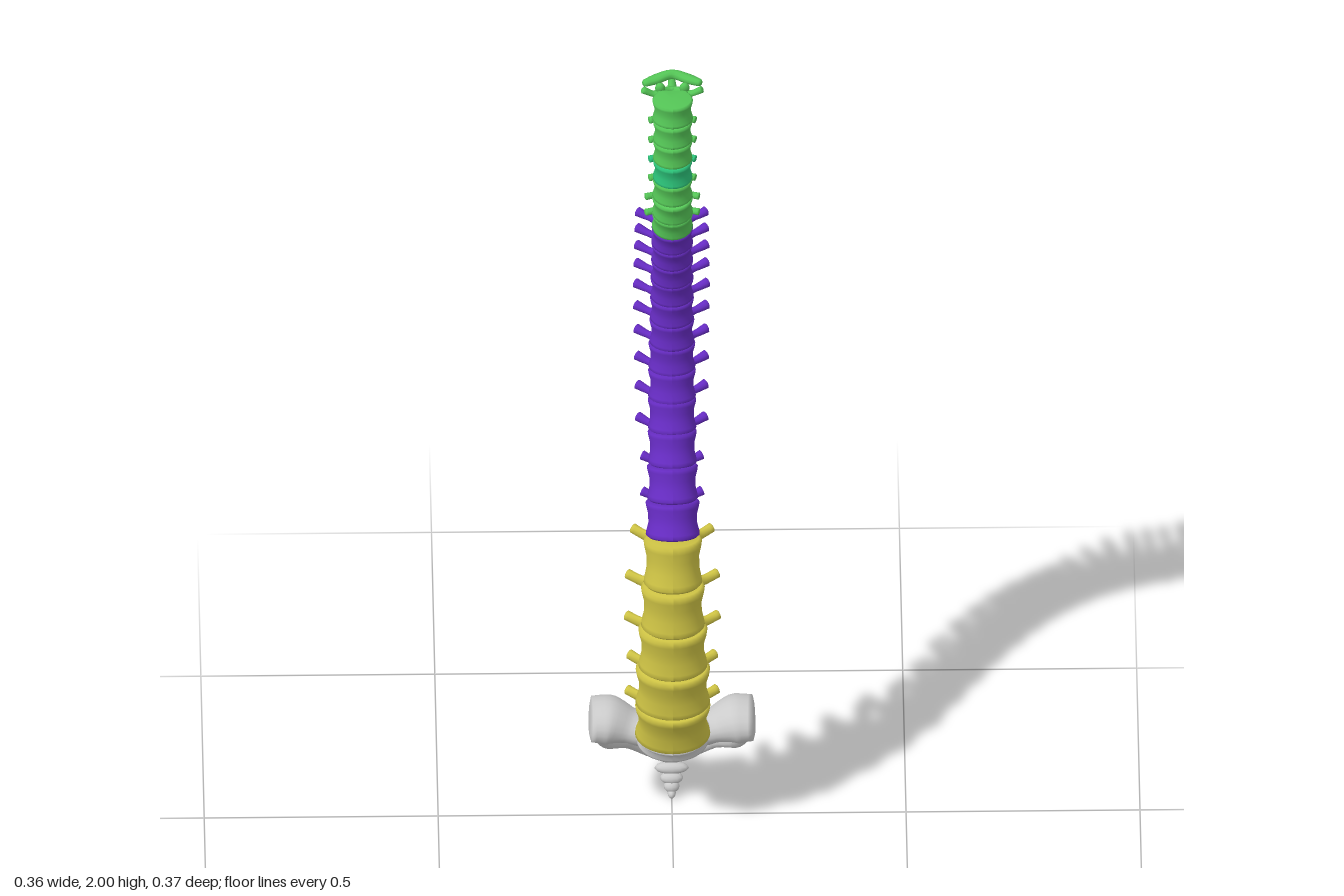
import * as THREE from 'three';

const V = (x, y, z) => new THREE.Vector3(x, y, z);
const mat = (color) => new THREE.MeshStandardMaterial({ color });
const lerpTable = (table, t) => {
  const f = t * (table.length - 1), i = Math.min(Math.floor(f), table.length - 2);
  return table[i].map((v, k) => v + (table[i + 1][k] - v) * (f - i));
};

// Tapered elliptical limb along a curve. radii: [sideways, upward] pairs, spread evenly over the length.
function limb(points, radii, { segs = 10, sides = 10, side = null, deform = null } = {}) {
  const curve = new THREE.CatmullRomCurve3(points.map((p) => V(...p)), false, 'centripetal');
  const pos = [], idx = [];
  const rings = [[0, 0.01], [0, 0.7]];
  for (let i = 0; i <= segs; i++) rings.push([0.03 + 0.94 * i / segs, 1]);
  rings.push([1, 0.7], [1, 0.01]);
  for (const [t, k] of rings) {
    const c = curve.getPoint(t), T = curve.getTangent(t);
    const s = side ? V(...side) : V(0, 1, 0).cross(T);
    s.addScaledVector(T, -s.dot(T)).normalize();
    const u = T.clone().cross(s);
    const [rs, ru] = lerpTable(radii, t);
    for (let j = 0; j < sides; j++) {
      const a = j / sides * Math.PI * 2;
      const p = c.clone().addScaledVector(s, Math.cos(a) * rs * k).addScaledVector(u, Math.sin(a) * ru * k);
      if (deform) deform(p, t, u.clone().multiplyScalar(Math.sin(a)));
      pos.push(p.x, p.y, p.z);
    }
  }
  for (let i = 0; i < rings.length - 1; i++) for (let j = 0; j < sides; j++) {
    const a = i * sides + j, b = i * sides + (j + 1) % sides;
    idx.push(a, b, a + sides, b, b + sides, a + sides);
  }
  const g = new THREE.BufferGeometry();
  g.setAttribute('position', new THREE.Float32BufferAttribute(pos, 3));
  g.setIndex(idx);
  g.computeVertexNormals();
  return g;
}

function add(parent, name, geometry, material) {
  const m = new THREE.Mesh(geometry, material);
  m.name = name;
  parent.add(m);
  return m;
}

function blob(parent, name, p, r, material) {
  const m = add(parent, name, new THREE.SphereGeometry(1, 12, 8), material);
  m.position.set(...p);
  m.scale.set(...r);
  return m;
}

// Column centre line and body size: y, centre z, half width, half depth
const COLUMN = [
  [2.0, 0.083, 0.043, 0.04], [1.9, 0.086, 0.041, 0.039], [1.8, 0.081, 0.041, 0.04], [1.7, 0.07, 0.042, 0.039],
  [1.6, 0.036, 0.043, 0.037], [1.5, 0.004, 0.043, 0.037], [1.4, -0.02, 0.045, 0.037], [1.3, -0.03, 0.046, 0.038],
  [1.2, -0.029, 0.049, 0.04], [1.1, -0.01, 0.05, 0.043], [1.0, 0.024, 0.051, 0.047], [0.9, 0.066, 0.054, 0.05],
  [0.8, 0.106, 0.059, 0.053], [0.7, 0.122, 0.064, 0.054], [0.6, 0.125, 0.069, 0.055], [0.5, 0.121, 0.074, 0.056],
  [0.4, 0.108, 0.079, 0.057], [0.3, 0.08, 0.078, 0.055], [0.2, 0.04, 0.078, 0.052],
];
const column = (y) => lerpTable(COLUMN, (2 - y) / 1.8);

// Waisted body with raised rims and a slightly hollow back
function bodyGeometry(w, d, h) {
  const profile = [[0, -0.5], [0.93, -0.5], [1.03, -0.44], [1.01, -0.34], [0.93, -0.12], [0.93, 0.12],
    [1.01, 0.34], [1.03, 0.44], [0.93, 0.5], [0, 0.5]];
  const g = new THREE.LatheGeometry(profile.map(([r, y]) => new THREE.Vector2(r, y * h)), 32);
  const p = g.attributes.position;
  for (let i = 0; i < p.count; i++) {
    const z = p.getZ(i);
    p.setX(i, p.getX(i) * w);
    p.setZ(i, d * (z < -0.8 ? -0.8 - (z + 0.8) * 0.5 : z));
  }
  g.computeVertexNormals();
  return g;
}

// o: canal depth, side wing tip [x, dy, dz], tip radius, rear spine tip [y, z] and radii
function vertebra(name, y, h, o, material) {
  const g = new THREE.Group();
  g.name = name;
  const [, z, w, d] = column(y);
  const slope = (column(y + 0.04)[1] - column(y - 0.04)[1]) / 0.08;
  const tilt = Math.atan(slope);
  const body = add(g, 'body', bodyGeometry(w, d, h / Math.cos(tilt)), material);
  body.position.set(0, y, z);
  body.rotation.x = tilt;

  // arch around the canal
  const zb = z - d * 0.75, c = o.canal, up = y - slope * 0.02;
  const half = [[w * 0.5, up + h * 0.16, zb + d * 0.35], [w * 0.62, up + h * 0.1, zb - c * 0.4], [w * 0.42, up - h * 0.06, zb - c * 0.8]];
  const arch = [...half, [0, up - h * 0.15, zb - c], ...half.slice().reverse().map(([a, b, e]) => [-a, b, e])];
  add(g, 'arch', limb(arch, [[0.009, h * 0.17], [0.009, h * 0.24], [0.008, h * 0.32], [0.009, h * 0.24], [0.009, h * 0.17]], { segs: 20 }), material);

  // rear spine
  const [ty, tz] = o.spine, sy = up - h * 0.12, sz = zb - c * 0.85;
  add(g, 'rearSpine', limb([[0, sy, sz], [0, (sy + ty) / 2 + 0.004, (sz + tz) / 2], [0, ty, tz]], o.spineR), material);

  for (const s of [1, -1]) {
    // side wing
    const [tx, dy, dz] = o.wing;
    add(g, 'sideWing', limb(
      [[s * w * 0.5, up + h * 0.06, zb - c * 0.45], [s * (w * 0.5 + tx) / 2, up + dy * 0.4, zb + (dz - c * 0.45) / 2], [s * tx, up + dy, zb + dz]],
      [[0.012, h * 0.2], [0.008, h * 0.12], [o.tipR, o.tipR]]), material);
    // joint facets
    for (const e of [1, -1]) {
      const f = blob(g, 'facet', [s * w * (e > 0 ? 0.62 : 0.5), up + e * h * 0.36, zb - c * (e > 0 ? 0.5 : 0.7)], [0.011, h * 0.27, 0.009], material);
      f.rotation.x = 0.25;
    }
  }
  return g;
}

function sacrum(material) {
  const g = new THREE.Group();
  g.name = 'sacrum';
  // curved wedge with paired hollows front and back
  const dent = (p, t, n) => {
    [0.24, 0.36, 0.48, 0.59].forEach((l, i) => {
      const r2 = ((Math.abs(p.x) - (0.05 - i * 0.007)) / 0.013) ** 2 + ((t - l) / 0.035) ** 2;
      p.addScaledVector(n, -0.014 * Math.exp(-r2));
    });
  };
  add(g, 'sacralBody', limb(
    [[0, 0.262, 0.055], [0, 0.225, 0.0], [0, 0.18, -0.048], [0, 0.135, -0.08], [0, 0.095, -0.088]],
    [[0.075, 0.045], [0.125, 0.042], [0.112, 0.032], [0.075, 0.023], [0.042, 0.015]],
    { segs: 44, sides: 56, side: [-1, 0, 0], deform: dent }), material);
  const base = add(g, 'sacralPlateau', bodyGeometry(0.075, 0.05, 0.05), material);
  base.position.set(0, 0.255, 0.06);
  base.rotation.x = 0.6;

  for (const s of [1, -1]) {
    // wing ending in a broad ear-shaped face
    add(g, 'wing', limb(
      [[s * 0.035, 0.235, 0.02], [s * 0.09, 0.245, 0.008], [s * 0.135, 0.257, 0.003], [s * 0.176, 0.26, 0.004]],
      [[0.04, 0.03], [0.045, 0.034], [0.063, 0.05], [0.06, 0.043]], { segs: 14, sides: 20 }), material);
    add(g, 'wingEdge', limb(
      [[s * 0.155, 0.25, 0.0], [s * 0.14, 0.2, -0.025], [s * 0.095, 0.155, -0.062], [s * 0.045, 0.1, -0.085]],
      [[0.025, 0.045], [0.022, 0.035], [0.018, 0.02], [0.008, 0.01]], { side: [1, 0, 0], sides: 14 }), material);
    // lateral crest
    for (let i = 0; i < 4; i++) blob(g, 'lateralCrest', [s * (0.085 - i * 0.015), 0.225 - i * 0.033, -0.055 - i * 0.014], [0.012, 0.013, 0.011], material);
    // joint facets toward the column
    blob(g, 'upperFacet', [s * 0.045, 0.275, -0.022], [0.014, 0.026, 0.014], material);
  }
  // median crest
  for (let i = 0; i < 4; i++) blob(g, 'medianCrest', [0, 0.235 - i * 0.033, -0.06 - i * 0.015], [0.009, 0.016, 0.014], material);

  // tailbone
  [[0.088, -0.088, 0.034], [0.064, -0.08, 0.037], [0.043, -0.072, 0.025], [0.025, -0.066, 0.017], [0.011, -0.06, 0.009]]
    .forEach(([y, z, w]) => blob(g, 'tailbone', [0, y, z], [w, y > 0.02 ? 0.014 : 0.011, 0.014], material));
  return g;
}

export function createModel() {
  const model = new THREE.Group();
  model.name = 'spine';
  const green = mat(0x55c757), teal = mat(0x2cc47a), purple = mat(0x672cc4), yellow = mat(0xcfc445);

  // neck
  const neckZ = [-0.06, -0.053, -0.045, -0.06, -0.075, -0.095, -0.12];
  neckZ.forEach((tz, i) => {
    const y = 1.958 - i * 0.0537;
    model.add(vertebra('neckVertebra' + (i + 1), y, 0.0537, {
      canal: 0.038, wing: i ? [i > 4 ? 0.058 : 0.05, 0, -0.004] : [0.064, 0.022, -0.01], tipR: 0.008,
      spine: [y - 0.012 - i * 0.0035, tz], spineR: [[0.012, 0.015], [0.008, 0.011], [0.009, 0.009]],
    }, i === 3 ? teal : green));
  });
  // raised rear rim of the top vertebra
  add(model, 'topRim', limb([[-0.062, 1.984, 0.028], [-0.035, 1.985, 0.014], [0, 1.989, 0.002], [0.035, 1.985, 0.014], [0.062, 1.984, 0.028]],
    [[0.008, 0.008], [0.013, 0.01], [0.01, 0.011], [0.013, 0.01], [0.008, 0.008]], { segs: 16 }), green);

  // chest
  const chestZ = [-0.145, -0.16, -0.166, -0.167, -0.167, -0.172, -0.178, -0.176, -0.165, -0.15, -0.12, -0.078];
  const drop = [0.04, 0.06, 0.075, 0.08, 0.08, 0.08, 0.08, 0.075, 0.07, 0.06, 0.055, 0.045];
  let top = 1.609;
  chestZ.forEach((tz, i) => {
    const h = 0.0563 + i * 0.0017, y = top - h / 2;
    top -= h;
    model.add(vertebra('chestVertebra' + (i + 1), y, h, {
      canal: 0.045, wing: [i > 9 ? 0.065 : 0.079 - Math.abs(i - 4) * 0.001, 0.01, i > 9 ? -0.035 : -0.05], tipR: 0.011,
      spine: [y - drop[i], tz], spineR: [[0.014, 0.02], [0.008, 0.015], [0.006, 0.011]],
    }, purple));
  });

  // lower back
  [0.086, 0.098, 0.1, 0.094, 0.098].forEach((tx, i) => {
    const h = 0.111, y = top - h * (i + 0.5);
    model.add(vertebra('lowerBackVertebra' + (i + 1), y, h, {
      canal: 0.05, wing: [tx, 0.014, -0.055], tipR: 0.011,
      spine: [y - 0.016, i === 4 ? -0.078 : -0.04], spineR: [[0.012, 0.026], [0.008, 0.022], [0.008, 0.021]],
    }, yellow));
  });

  model.add(sacrum(mat(0xcccccc)));
  return model;
}
